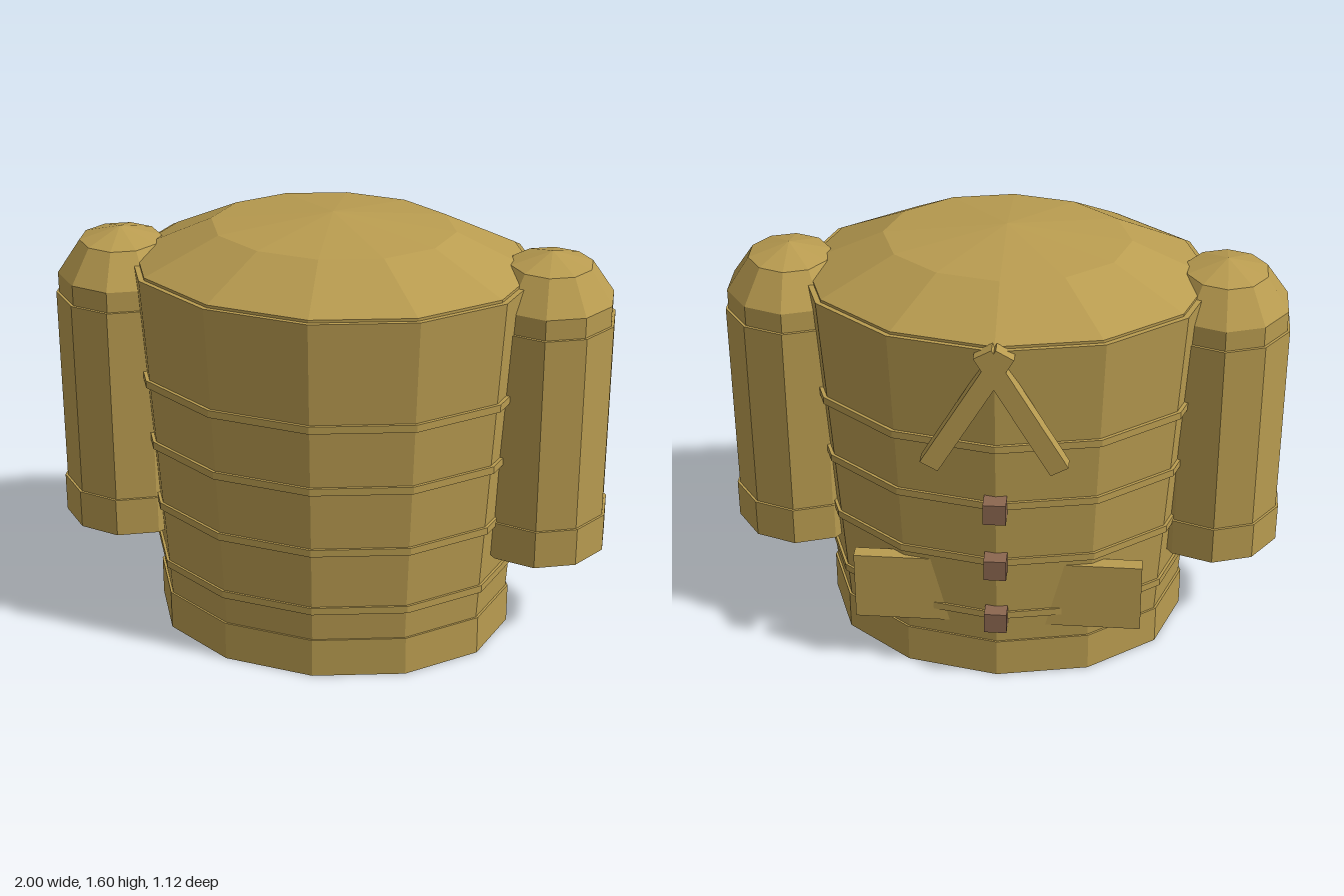
import * as THREE from 'three';

export function createModel() {
  const model = new THREE.Group();
  model.name = 'backpack';

  const khaki = new THREE.MeshStandardMaterial({ color: 0xb99c50, flatShading: true });
  khaki.name = 'khaki canvas';
  const brown = new THREE.MeshStandardMaterial({ color: 0x8c6750, flatShading: true });
  brown.name = 'brown leather';

  function add(name, geometry, material, x, y, z, parent = model) {
    const mesh = new THREE.Mesh(geometry, material);
    mesh.name = name;
    mesh.position.set(x, y, z);
    parent.add(mesh);
    return mesh;
  }

  // Faceted solid of revolution from [radius, height] pairs, bottom to top
  const turned = (profile, sides) =>
    new THREE.LatheGeometry(profile.map(([r, y]) => new THREE.Vector2(r, y)), sides);

  // Oval main bag: profiles use the depth radius and are widened along x
  const WIDEN = 1.345;
  const MID_Z = 0.012;
  function oval(name, profile) {
    add(name, turned(profile, 12).scale(WIDEN, 1, 1), khaki, 0, 0, MID_Z);
  }
  oval('baseBand', [[0, 0], [0.49, 0], [0.49, 0.15], [0, 0.15]]);
  oval('mainBag', [[0, 0.14], [0.483, 0.14], [0.545, 1.41], [0, 1.41]]);
  oval('lid', [[0, 1.4], [0.53, 1.4], [0.53, 1.42], [0.322, 1.55], [0, 1.6]]);

  // Belts around the bag
  const belts = [[0.275, 0.498], [0.52, 0.511], [0.77, 0.524], [1.015, 0.537]];
  belts.forEach(([y, r]) => {
    oval('belt', [[0, y - 0.014], [r, y - 0.014], [r, y + 0.014], [0, y + 0.014]]);
  });

  // Domed side canisters
  const canister = turned([
    [0, 0.375], [0.247, 0.375], [0.247, 0.52], [0.238, 0.52], [0.238, 1.26],
    [0.228, 1.26], [0.228, 1.335], [0.146, 1.455], [0, 1.5],
  ], 10);
  add('leftCanister', canister, khaki, 0.765, 0, 0.008);
  add('rightCanister', canister, khaki, -0.765, 0, 0.008);

  // Crossed shoulder straps on the back
  for (const side of [1, -1]) {
    const strap = add(side > 0 ? 'leftStrap' : 'rightStrap',
      new THREE.BoxGeometry(0.07, 0.52, 0.05), khaki, side * 0.0925, 1.1875, -0.535);
    strap.rotation.z = side * Math.PI / 6;
  }

  // Waist plate passing through the back of the bag
  add('waistPlate', new THREE.BoxGeometry(1.03, 0.27, 0.05), khaki, 0, 0.347, -0.415);

  // Buckles on the lower three belts
  [[0.275, -0.53], [0.52, -0.545], [0.77, -0.56]].forEach(([y, back]) => {
    add('buckle', new THREE.BoxGeometry(0.08, 0.08, 0.08), brown, 0, y, back + 0.04);
  });

  return model;
}
